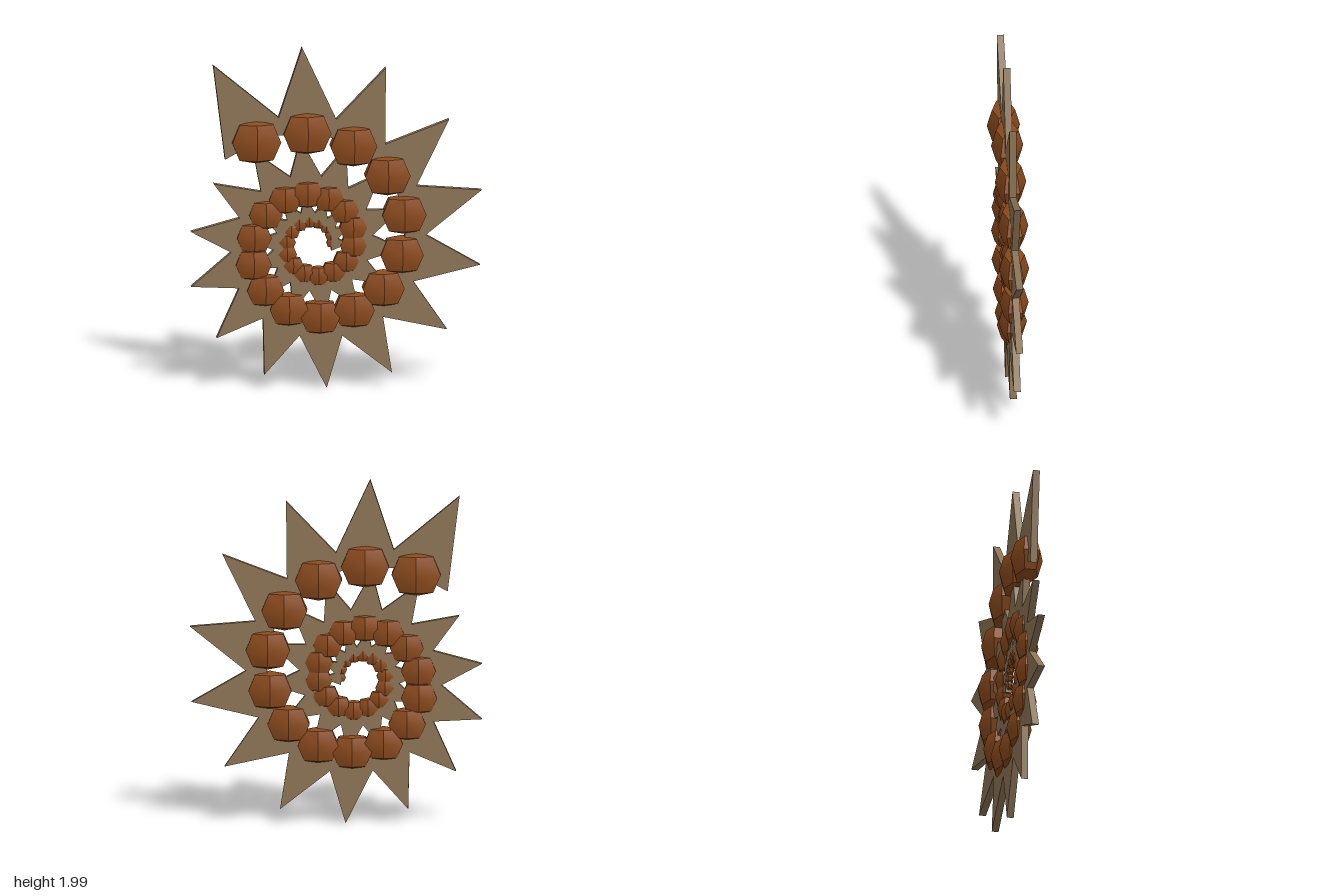
import * as THREE from 'three';
import { toCreasedNormals } from 'three/addons/utils/BufferGeometryUtils.js';

const COUNT = 34;                 // segments along the spiral
const CENTER = { x: -0.13, y: 0.851 };
const START = THREE.MathUtils.degToRad(118.7);
const STEP = THREE.MathUtils.degToRad(25.45);

// Six-sided barrel bead with shallow pointed caps, flattened in z
function beadGeometry() {
  const profile = [[0, -0.128], [0.112, -0.104], [0.162, 0], [0.112, 0.104], [0, 0.128]]
    .map(([r, y]) => new THREE.Vector2(r, y));
  const lathe = new THREE.LatheGeometry(profile, 6);
  lathe.scale(1, 1, 0.095 / 0.162);
  return toCreasedNormals(lathe, 0.6);
}

// Flat triangular spike pointing along +x, base on the spiral line
function spikeGeometry() {
  const shape = new THREE.Shape();
  shape.moveTo(0, -0.205);
  shape.lineTo(0.516, 0);
  shape.lineTo(0, 0.205);
  shape.closePath();
  const geometry = new THREE.ExtrudeGeometry(shape, { depth: 0.04, bevelEnabled: false });
  geometry.translate(0, 0, -0.02);
  return geometry;
}

export function createModel() {
  const beadBrown = new THREE.MeshStandardMaterial({ color: 0x8b4a1c });
  beadBrown.name = 'beadBrown';
  const spikeTan = new THREE.MeshStandardMaterial({ color: 0x8b7355 });
  spikeTan.name = 'spikeTan';

  const model = new THREE.Group();
  model.name = 'spikedSpiral';
  const beads = new THREE.Group();
  beads.name = 'beads';
  const spikes = new THREE.Group();
  spikes.name = 'spikes';
  model.add(beads, spikes);

  const beadShape = beadGeometry();
  const spikeShape = spikeGeometry();

  // Bead and spike pairs wind inward clockwise, shrinking evenly
  for (let i = 0; i < COUNT; i++) {
    const angle = START - STEP * i;
    const radius = 0.684 * Math.pow(0.9442, i);
    const size = 1 - 0.8 * i / (COUNT - 1);
    const x = CENTER.x + radius * Math.cos(angle);
    const y = CENTER.y + radius * Math.sin(angle);

    const bead = new THREE.Mesh(beadShape, beadBrown);
    bead.name = 'bead' + (i + 1);
    bead.position.set(x, y, 0);
    bead.scale.setScalar(size);
    beads.add(bead);

    const spike = new THREE.Mesh(spikeShape, spikeTan);
    spike.name = 'spike' + (i + 1);
    spike.position.set(x, y, 0);
    spike.rotation.z = angle;
    spike.scale.set(size, size, 1);
    spikes.add(spike);
  }
  return model;
}
